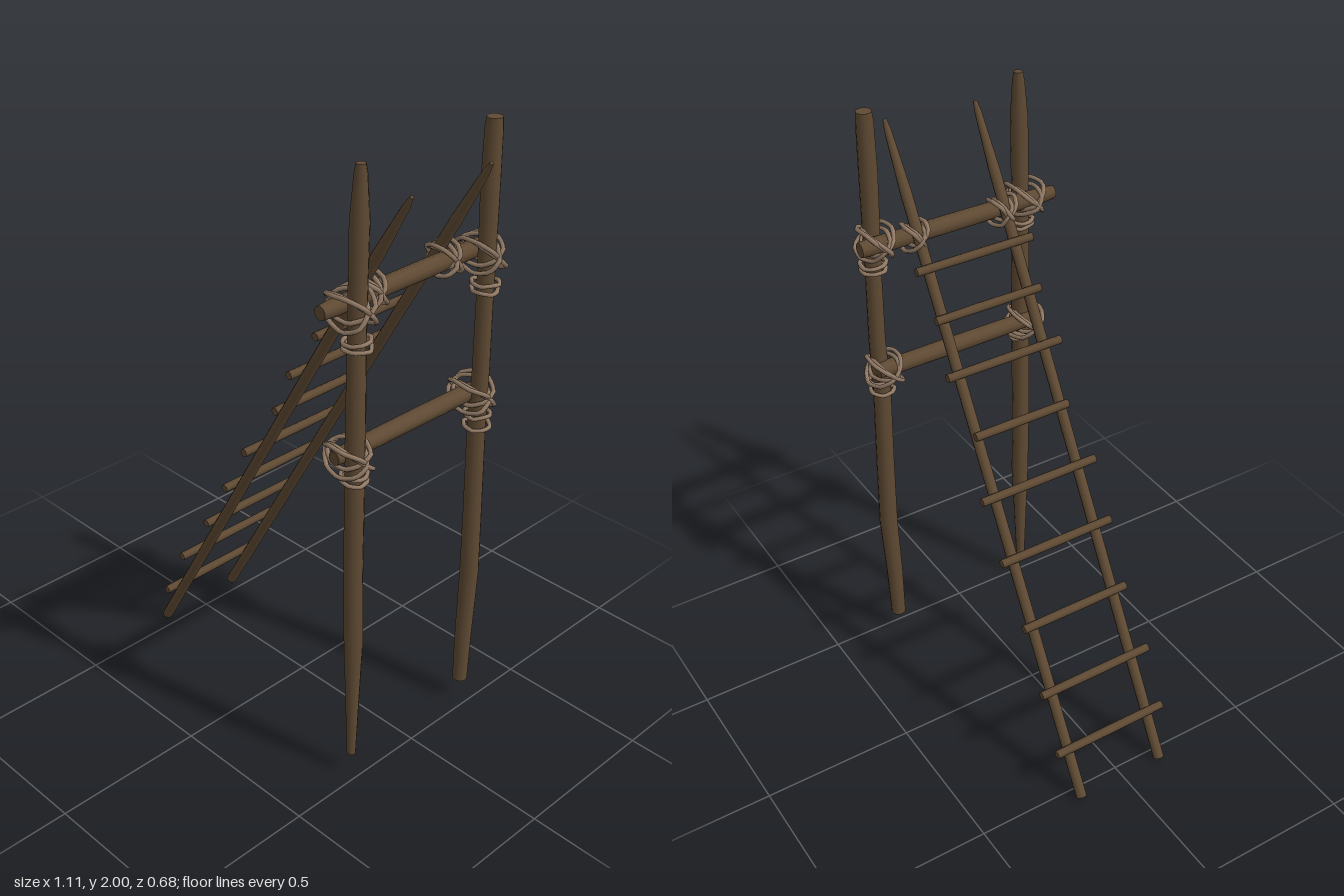
import * as THREE from 'three';

const wood = new THREE.MeshStandardMaterial({ color: 0x5f4a33 });
const rope = new THREE.MeshStandardMaterial({ color: 0x927a65 });
const UP = new THREE.Vector3(0, 1, 0);

// Small seeded generator, from -1 to 1
let seed = 7;
function wobble() {
  seed = (seed * 16807) % 2147483647;
  return (seed / 2147483647) * 2 - 1;
}

// Rough pole from a to b. Rings run from b down to a: [position 0..1, radius, bend x, bend z]
function pole(name, a, b, rings, sides = 10) {
  const start = new THREE.Vector3(...a);
  const dir = new THREE.Vector3(...b).sub(start);
  const length = dir.length();
  const n = rings.length - 1;
  const geometry = new THREE.CylinderGeometry(1, 1, 1, sides, n);
  const p = geometry.attributes.position;
  for (let i = 0; i < p.count; i++) {
    const [t, r, bx = 0, bz = 0] = rings[Math.round((0.5 - p.getY(i)) * n)];
    p.setXYZ(i, p.getX(i) * r + bx, t * length, p.getZ(i) * r + bz);
  }
  const mesh = new THREE.Mesh(geometry, wood);
  mesh.name = name;
  mesh.position.copy(start);
  mesh.quaternion.setFromUnitVectors(UP, dir.normalize());
  return mesh;
}

// Closed rope loop with half sizes hx, hy, then turned and placed
function loop(center, hx, hy, rotation, r = 0.007) {
  const points = [];
  for (let i = 0; i < 8; i++) {
    const a = ((i + 0.5) / 8) * Math.PI * 2;
    const k = 1 + wobble() * 0.07;
    points.push(new THREE.Vector3(Math.cos(a) * hx * k, Math.sin(a) * hy * k, wobble() * 0.004));
  }
  const curve = new THREE.CatmullRomCurve3(points, true, 'catmullrom', 0.3);
  const mesh = new THREE.Mesh(new THREE.TubeGeometry(curve, 24, r, 6, true), rope);
  mesh.name = 'ropeLoop';
  mesh.position.set(...center);
  mesh.rotation.set(...rotation);
  return mesh;
}

// Crossed diagonal loops binding two poles
function lashing(name, [x, y, z], hx, hy, spread, tilt) {
  const group = new THREE.Group();
  group.name = name;
  for (const side of [-1, 1]) {
    for (const k of [0, 1]) {
      const offset = (k - 0.5) * 0.022;
      group.add(loop([x, y + offset * 0.7, z + side * offset * 0.7], hx - k * 0.006, hy,
        [side * (spread + k * 0.12), 0, tilt + (k - 0.5) * 0.2]));
    }
  }
  return group;
}

// Flat turns of rope around a post
function wraps(name, x, z, heights) {
  const group = new THREE.Group();
  group.name = name;
  for (const y of heights) {
    group.add(loop([x, y, z], 0.039, 0.039, [Math.PI / 2 + wobble() * 0.08, wobble() * 0.08, 0]));
  }
  return group;
}

export function createModel() {
  const model = new THREE.Group();
  model.name = 'ladderFrame';

  // Upright posts: one sharpened at both ends, one blunt and slightly bowed
  model.add(pole('frontPost', [0.465, 0.08, 0.25], [0.465, 2, 0.25], [
    [1, 0.014, -0.002, -0.003], [0.985, 0.019, -0.001, -0.002], [0.92, 0.028, 0, 0],
    [0.75, 0.027, 0, 0.002], [0.55, 0.03, 0, 0], [0.33, 0.029, 0.003, 0.001],
    [0.22, 0.029, 0.008, 0], [0.12, 0.022, 0.008, 0], [0, 0.014, 0.006, -0.002],
  ]));
  model.add(pole('backPost', [0.465, 0.08, -0.27], [0.465, 2, -0.27], [
    [1, 0.024, 0.001, 0], [0.985, 0.027, 0, 0], [0.9, 0.029, 0, 0],
    [0.72, 0.026, 0, -0.006], [0.6, 0.027, 0, -0.009], [0.5, 0.029, 0, -0.004],
    [0.33, 0.03, 0, -0.011], [0.22, 0.031, 0, -0.014], [0.1, 0.028, 0, -0.004],
    [0, 0.025, 0, 0],
  ]));

  // Crossbars
  const barRings = [[1, 0.021], [0.93, 0.025], [0.7, 0.027], [0.4, 0.028], [0.07, 0.027], [0, 0.024]];
  model.add(pole('upperCrossbar', [0.413, 1.595, -0.34], [0.413, 1.597, 0.34], barRings));
  model.add(pole('lowerCrossbar', [0.432, 1.14, -0.3], [0.432, 1.146, 0.3], barRings));

  // Ladder rails, pointed at the top
  const railRings = [[1, 0.006], [0.985, 0.011], [0.9, 0.018], [0.5, 0.0175], [0.2, 0.018], [0, 0.0175]];
  model.add(pole('frontRail', [-0.545, 0.01, 0.142], [0.543, 1.902, 0.142], railRings));
  model.add(pole('backRail', [-0.545, 0.01, -0.163], [0.55, 1.916, -0.163], railRings));

  // Rungs: x, y, back end, front end
  const rungs = [
    [-0.48, 0.172, -0.215, 0.19], [-0.39, 0.356, -0.215, 0.19], [-0.272, 0.54, -0.205, 0.178],
    [-0.161, 0.732, -0.215, 0.19], [-0.06, 0.908, -0.22, 0.195], [0.038, 1.078, -0.18, 0.155],
    [0.136, 1.25, -0.215, 0.19], [0.223, 1.4, -0.198, 0.17], [0.301, 1.535, -0.215, 0.19],
  ];
  for (const [x, y, z0, z1] of rungs) {
    model.add(pole('rung', [x, y, z0], [x, y, z1], [[1, 0.0135], [0.5, 0.0145], [0, 0.0135]], 8));
  }

  // Ropes binding posts to crossbars
  for (const [side, z] of [['front', 0.252], ['back', -0.274]]) {
    model.add(lashing(side + 'UpperLashing', [0.437, 1.595, z], 0.08, 0.056, 0.7, -0.15));
    model.add(lashing(side + 'LowerLashing', [0.437, 1.142, z], 0.078, 0.056, 0.8, -0.15));
    model.add(wraps(side + 'UpperWraps', 0.465, z, [1.487, 1.507]));
    model.add(wraps(side + 'LowerWraps', 0.465, z, side === 'front' ? [1.075, 1.092] : [1.043, 1.08]));
  }

  // Ropes binding rails to the upper crossbar
  model.add(lashing('frontRailLashing', [0.398, 1.6, 0.142], 0.058, 0.044, 0.6, -0.3));
  model.add(lashing('backRailLashing', [0.398, 1.6, -0.163], 0.058, 0.044, 0.6, -0.3));

  return model;
}
